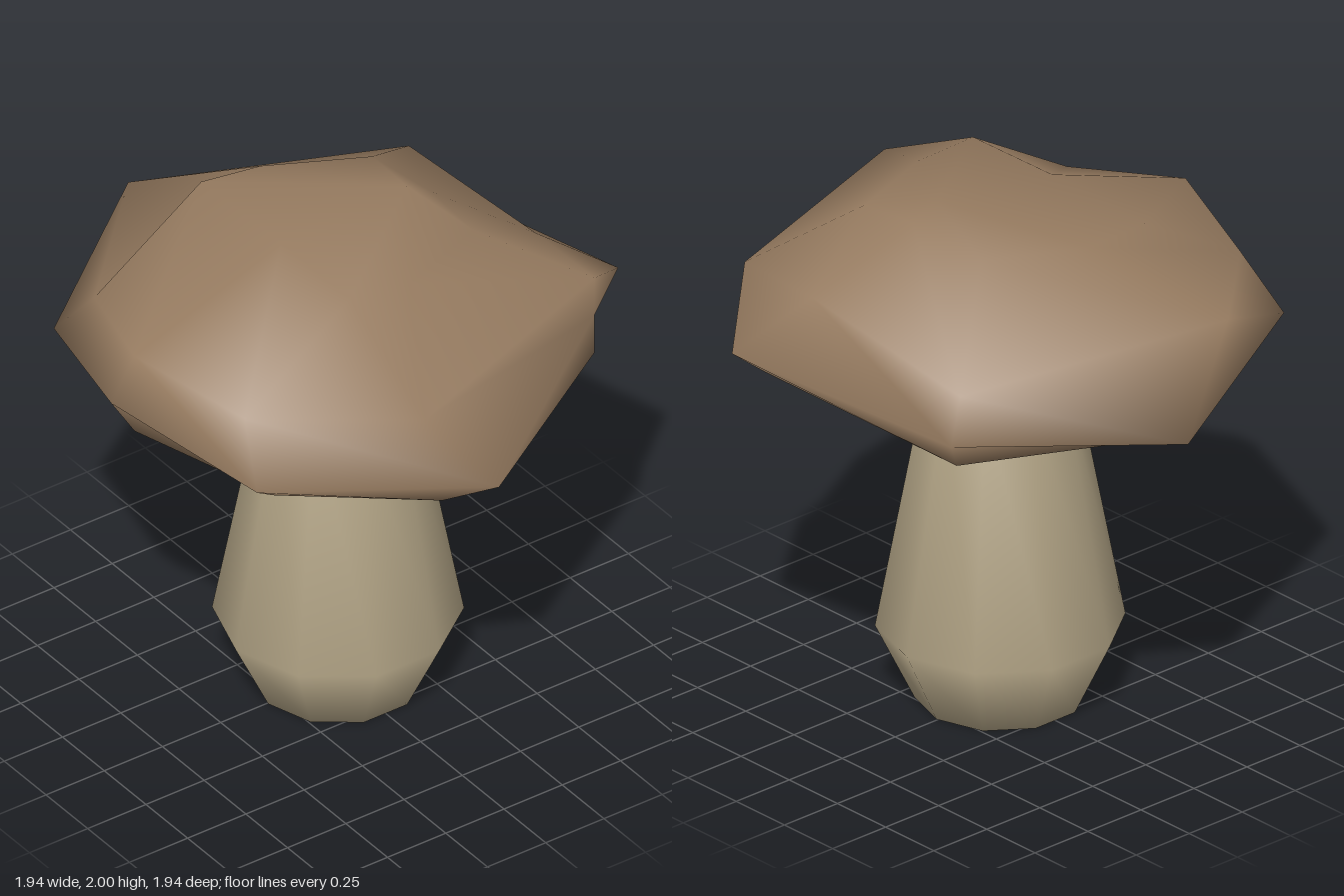
import * as THREE from 'three';

const capBrown = new THREE.MeshStandardMaterial({ color: 0x957a5f });
const stemTan = new THREE.MeshStandardMaterial({ color: 0xb0a284 });
capBrown.name = 'capBrown';
stemTan.name = 'stemTan';

// Closed smooth skin over rings listed from top to bottom, each running
// from the front (+z) round through +x, with a point at either end.
function loft(top, rings, bottom) {
  const n = rings[0].length;
  const points = [top, ...rings.flat(), bottom];
  const last = points.length - 1;
  const index = [];
  for (let j = 0; j < n; j++) {
    const k = (j + 1) % n;
    index.push(0, 1 + j, 1 + k);
    for (let i = 0; i < rings.length - 1; i++) {
      const a = 1 + i * n + j, d = 1 + i * n + k;
      index.push(a, a + n, d + n, a, d + n, d);
    }
    const base = 1 + (rings.length - 1) * n;
    index.push(base + j, last, base + k);
  }
  const geometry = new THREE.BufferGeometry();
  geometry.setAttribute('position', new THREE.Float32BufferAttribute(points.flat(), 3));
  geometry.setIndex(index);
  geometry.computeVertexNormals();
  return geometry;
}

function createCap() {
  // Columns: front, front +x, +x, back +x, back, back -x, -x, front -x
  const crown = [
    [0, 1.945, 0.24], [0.41, 1.94, 0.24], [0.43, 1.92, 0], [0.3, 1.92, -0.37],
    [0.05, 1.94, -0.37], [-0.28, 1.91, -0.35], [-0.46, 1.91, 0], [-0.48, 1.93, 0.24],
  ];
  const shoulder = [
    [0, 1.72, 0.87], [0.45, 1.65, 0.72], [0.89, 1.71, 0.26], [0.55, 1.72, -0.71],
    [0.2, 1.71, -0.71], [-0.59, 1.62, -0.73], [-0.89, 1.7, 0.26], [-0.45, 1.65, 0.72],
  ];
  const rim = [
    [0, 1.56, 0.97], [0.61, 1.45, 0.78], [0.97, 1.36, 0], [0.55, 1.56, -0.71],
    [0.33, 1.53, -0.97], [-0.61, 1.45, -0.79], [-0.97, 1.33, 0], [-0.61, 1.45, 0.78],
  ];
  const lip = [
    [0, 1.4, 0.87], [0.53, 1.34, 0.65], [0.84, 1.29, 0.15], [0.55, 1.4, -0.71],
    [0.28, 1.44, -0.86], [-0.55, 1.33, -0.71], [-0.75, 1.27, -0.02], [-0.5, 1.38, 0.66],
  ];
  // Underside where the cap meets the stem
  const collar = lip.map((_, j) => {
    const a = (j / 8) * Math.PI * 2;
    return [0.27 * Math.sin(a), 1.215, 0.27 * Math.cos(a)];
  });
  const geometry = loft([0.04, 2, -0.27], [crown, shoulder, rim, lip, collar], [0, 1.22, 0]);
  const cap = new THREE.Mesh(geometry, capBrown);
  cap.name = 'cap';
  return cap;
}

function createStem() {
  // Ten-sided stem with a bulge near the foot
  const ring = (radius, y) => Array.from({ length: 10 }, (_, j) => {
    const a = (j / 10) * Math.PI * 2;
    return [0.005 + radius * Math.sin(a), y, radius * Math.cos(a)];
  });
  const geometry = loft([0, 1.26, 0], [ring(0.26, 1.25), ring(0.44, 0.29), ring(0.3, 0)], [0, 0, 0]);
  const stem = new THREE.Mesh(geometry, stemTan);
  stem.name = 'stem';
  return stem;
}

export function createModel() {
  const mushroom = new THREE.Group();
  mushroom.name = 'mushroom';
  mushroom.add(createStem(), createCap());
  return mushroom;
}
